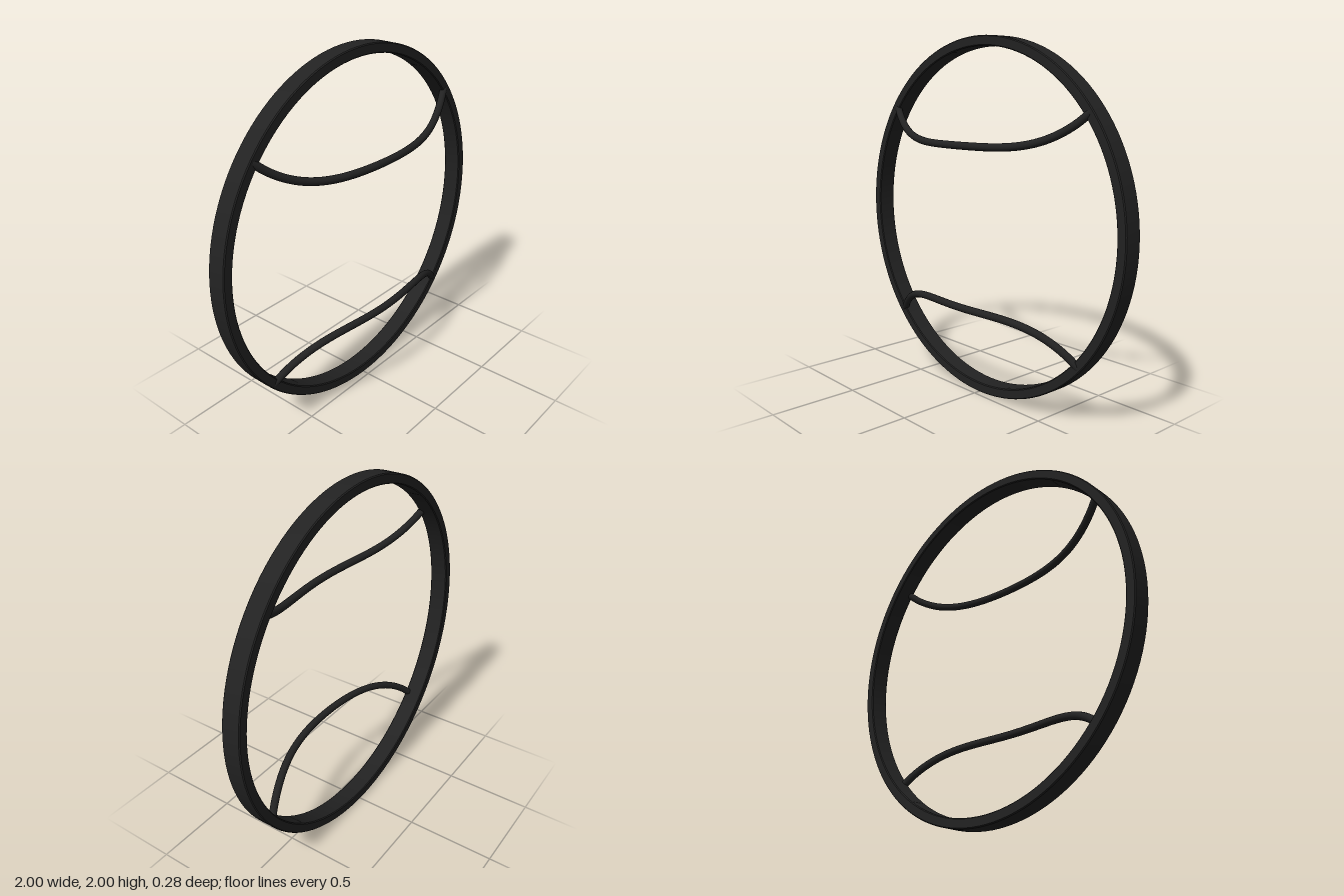
import * as THREE from 'three';
import { toCreasedNormals } from 'three/addons/utils/BufferGeometryUtils.js';

const WIRE = 0.021;

// Bowed wire: flat in the middle, sweeping to the rim and back at both ends
function makeWire(name, halfWidth, midY, endY, material) {
  const points = [];
  for (let i = -12; i <= 12; i++) {
    const t = (i / 12) * 1.01;
    points.push(new THREE.Vector3(
      halfWidth * t,
      midY + (endY - midY) * t ** 4,
      0.118 - 0.165 * t * t
    ));
  }
  const group = new THREE.Group();
  group.name = name;
  const curve = new THREE.CatmullRomCurve3(points);
  const tube = new THREE.Mesh(new THREE.TubeGeometry(curve, 72, WIRE, 14), material);
  tube.name = name + 'Tube';
  group.add(tube);
  // Rounded ends buried in the rim
  for (const p of [points[0], points[points.length - 1]]) {
    const cap = new THREE.Mesh(new THREE.SphereGeometry(WIRE, 14, 10), material);
    cap.name = name + 'End';
    cap.position.copy(p);
    group.add(cap);
  }
  return group;
}

export function createModel() {
  const model = new THREE.Group();
  model.name = 'wiredHoop';
  const black = new THREE.MeshStandardMaterial({ color: 0x222222 });
  black.name = 'black';

  // Flat hoop with slightly eased edges
  const outer = 1, inner = 0.945, half = 0.053, e = 0.005;
  const profile = [
    [outer, -half + e], [outer, half - e], [outer - e, half], [inner + e, half],
    [inner, half - e], [inner, -half + e], [inner + e, -half], [outer - e, -half],
    [outer, -half + e]
  ].map(([r, y]) => new THREE.Vector2(r, y));
  const hoop = new THREE.Mesh(toCreasedNormals(new THREE.LatheGeometry(profile, 128), 0.5), black);
  hoop.name = 'hoop';
  hoop.rotation.x = Math.PI / 2;
  hoop.position.set(0, 1, -0.086);
  model.add(hoop);

  // Upper and lower bowed wires
  model.add(makeWire('upperWire', 0.75, 1.422, 1.6, black));
  model.add(makeWire('lowerWire', 0.71, 0.534, 0.35, black));
  return model;
}
